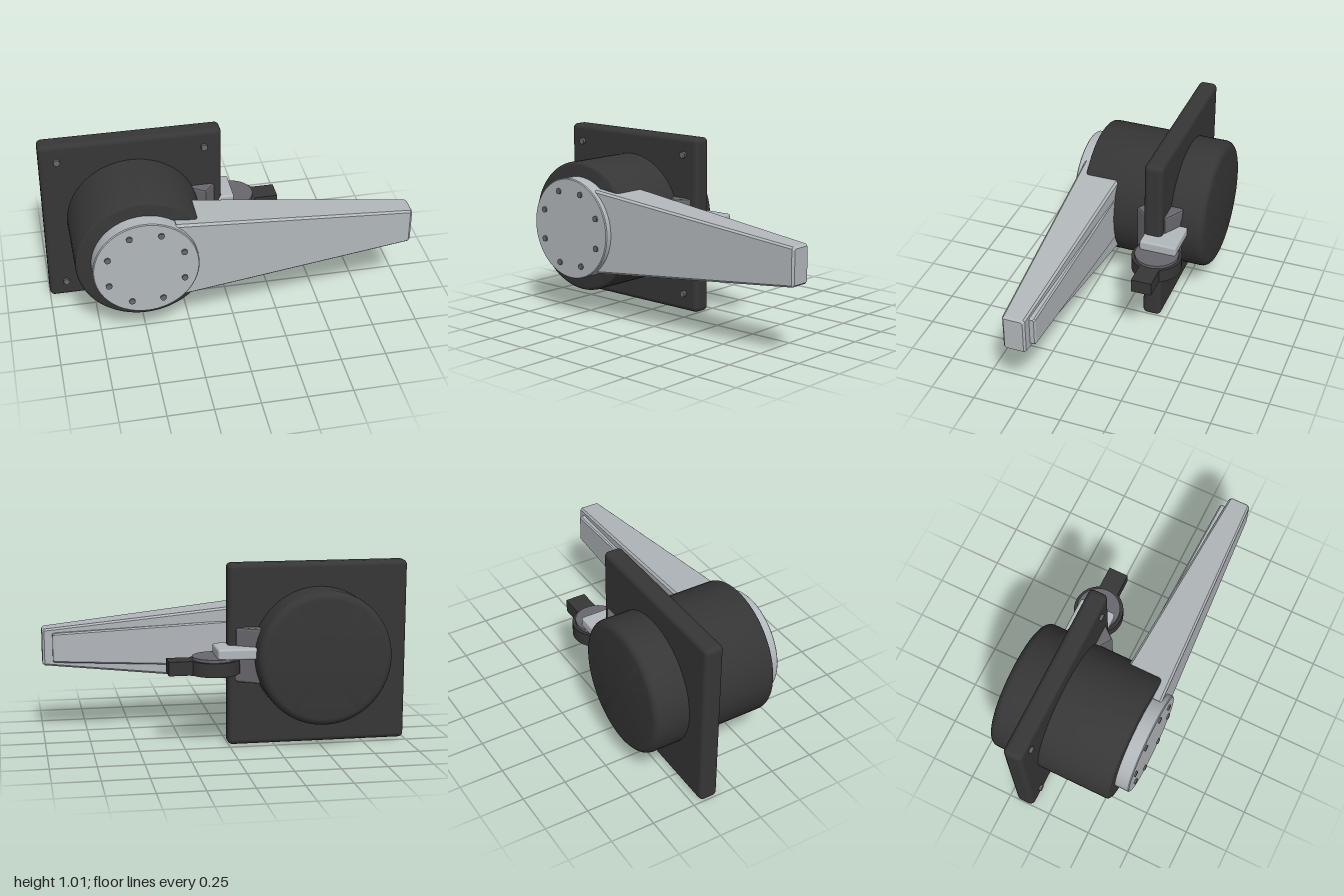
import * as THREE from 'three';
import { toCreasedNormals } from 'three/addons/utils/BufferGeometryUtils.js';
import { RoundedBoxGeometry } from 'three/addons/geometries/RoundedBoxGeometry.js';

const CX = -0.5, CY = 0.507; // axis of the drum

const material = (name, color) => Object.assign(new THREE.MeshStandardMaterial({ color }), { name });

// Turned solid around the z axis; profile is [radius, z] from back to front
function turned(profile, segments = 64) {
  const g = new THREE.LatheGeometry(profile.map(([r, z]) => new THREE.Vector2(r, z)), segments);
  return toCreasedNormals(g.rotateX(Math.PI / 2), 0.6);
}

// Tapered solid along x; each section is {x, h: half height, z0, z1, c: corner chamfer}
function taper(sections) {
  const rings = sections.map(({ x, h, z0, z1, c }) => [
    [h, z0 + c], [h, z1 - c], [h - c, z1], [c - h, z1],
    [-h, z1 - c], [-h, z0 + c], [c - h, z0], [h - c, z0],
  ].map(([y, z]) => [x, y, z]));
  const n = 8, index = [], last = (rings.length - 1) * n;
  for (let s = 0; s < rings.length - 1; s++) {
    for (let i = 0; i < n; i++) {
      const a = s * n + i, b = s * n + (i + 1) % n;
      index.push(a, b, a + n, b, b + n, a + n);
    }
  }
  for (let i = 1; i < n - 1; i++) {
    index.push(0, i + 1, i, last, last + i, last + i + 1);
  }
  const g = new THREE.BufferGeometry();
  g.setAttribute('position', new THREE.Float32BufferAttribute(rings.flat(2), 3));
  g.setIndex(index);
  return toCreasedNormals(g, 0.5);
}

export function createModel() {
  const model = new THREE.Group();
  model.name = 'leverLatch';
  const black = material('black plastic', 0x363636);
  const silver = material('silver metal', 0xb2b7bb);
  const steel = material('dark steel', 0x68676d);

  const add = (name, geometry, mat, x = 0, y = 0, z = 0) => {
    const mesh = new THREE.Mesh(geometry, mat);
    mesh.name = name;
    mesh.position.set(x, y, z);
    model.add(mesh);
    return mesh;
  };

  // Square mounting plate and drum
  add('mountingPlate', new RoundedBoxGeometry(1.005, 1.01, 0.107, 4, 0.028), black, -0.4975, 0.505, -0.157);
  const drum = [[0, -0.408]];
  for (let i = 0; i <= 6; i++) {
    const a = i / 6 * Math.PI / 2;
    drum.push([0.325 + 0.045 * Math.sin(a), -0.363 - 0.045 * Math.cos(a)]);
  }
  for (let i = 0; i <= 4; i++) {
    const a = i / 4 * Math.PI / 2;
    drum.push([0.35 + 0.02 * Math.cos(a), 0.3 + 0.02 * Math.sin(a)]);
  }
  drum.push([0, 0.32]);
  add('drum', turned(drum), black, CX, CY);

  // Front cap
  add('cap', turned([[0, 0.3], [0.287, 0.3], [0.287, 0.396], [0.282, 0.401], [0, 0.401]]), silver, CX, CY);

  // Bolts on the cap and in the plate corners
  const bolt = (r, length, sides) => new THREE.CylinderGeometry(r, r, length, sides).rotateX(Math.PI / 2);
  for (let i = 0; i < 8; i++) {
    const a = (i + 0.5) * Math.PI / 4;
    add('capBolt', bolt(0.017, 0.03, 16), steel, CX + 0.222 * Math.cos(a), CY + 0.222 * Math.sin(a), 0.395);
  }
  for (const sx of [-1, 1]) {
    for (const sy of [-1, 1]) {
      add('plateBolt', bolt(0.02, 0.035, 6), steel, -0.4975 + sx * 0.405, 0.506 + sy * 0.405, -0.1055);
    }
  }

  // Long tapered arm with a raised rib on its back
  add('arm', taper([
    { x: -0.33, h: 0.237, z0: 0.115, z1: 0.372, c: 0.012 },
    { x: 0.985, h: 0.104, z0: 0.18, z1: 0.305, c: 0.01 },
    { x: 0.997, h: 0.094, z0: 0.19, z1: 0.295, c: 0.007 },
  ]), silver, 0, CY);
  add('armRib', taper([
    { x: -0.25, h: 0.14, z0: 0.119, z1: 0.2, c: 0.008 },
    { x: 0.93, h: 0.083, z0: 0.146, z1: 0.22, c: 0.008 },
    { x: 0.94, h: 0.076, z0: 0.153, z1: 0.215, c: 0.006 },
  ]), silver, 0, CY);

  // Faceted bracket on the drum's side, drawn in plan
  const plan = new THREE.Shape([
    [-0.19, 0.27], [-0.15, 0.27], [-0.05, 0.21], [-0.05, 0.11], [-0.1, 0.05], [-0.19, 0.11],
  ].map(([x, y]) => new THREE.Vector2(x, y)).reverse());
  const bracket = new THREE.ExtrudeGeometry(plan, {
    depth: 0.28, bevelThickness: 0.012, bevelSize: 0.012, bevelSegments: 2,
  }).rotateX(-Math.PI / 2);
  add('sideBracket', bracket, steel, 0, 0.37, 0);

  // Light arm block, turning disc and knob with its tab
  add('knobSupport', new RoundedBoxGeometry(0.22, 0.06, 0.21, 3, 0.012), silver, -0.032, 0.532, -0.212);
  add('knobDisc', new THREE.CylinderGeometry(0.122, 0.122, 0.02, 48), steel, 0.082, 0.5, -0.212);
  add('knob', new THREE.CylinderGeometry(0.14, 0.14, 0.077, 48), black, 0.082, 0.4555, -0.212);
  add('knobTab', new THREE.BoxGeometry(0.2, 0.077, 0.115), black, 0.24, 0.4555, -0.212);

  return model;
}
